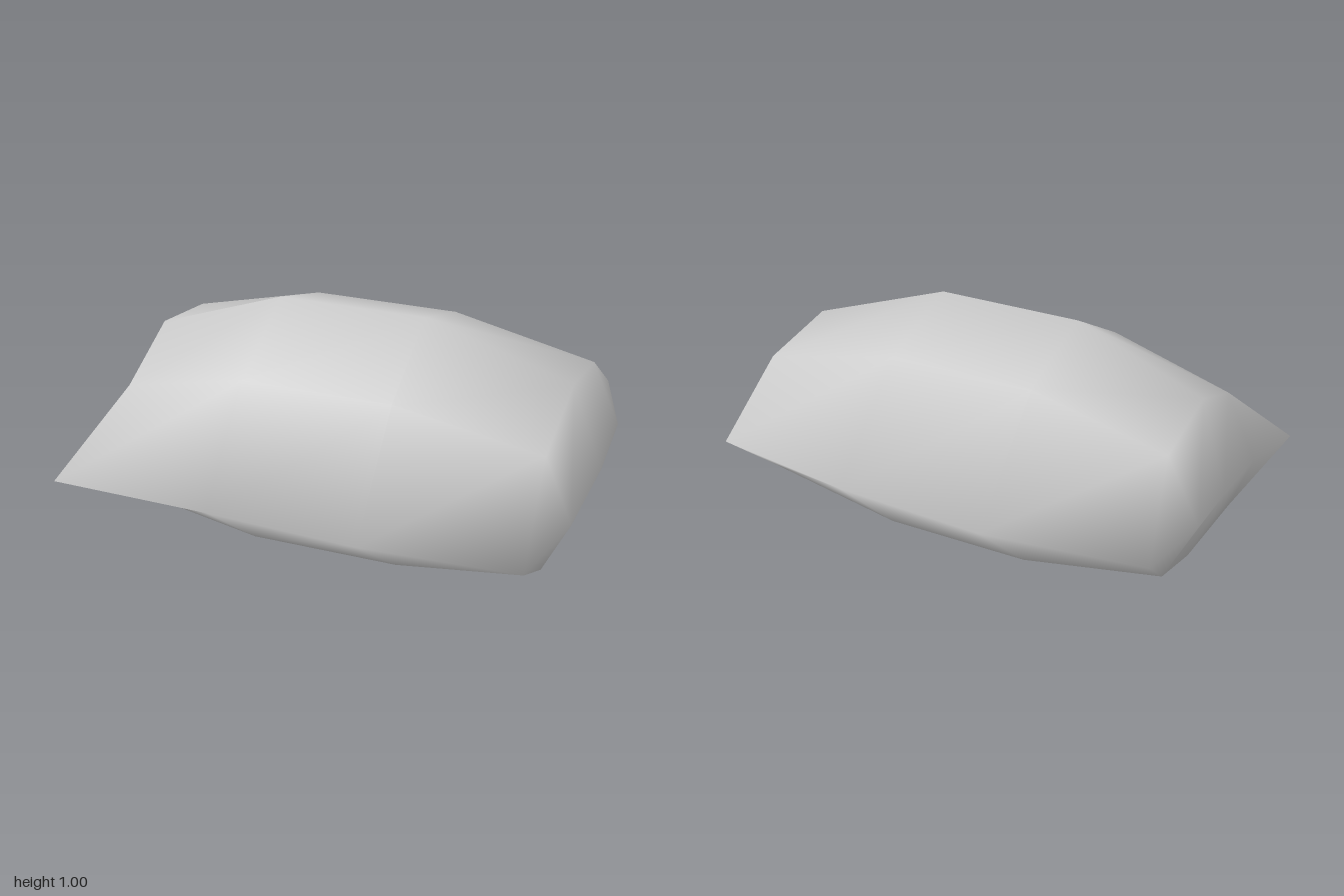
import * as THREE from 'three';

// Cross-section loops as [z, y], running front seam, over the top, back seam, underneath
const middle = [[0.75, 0.375], [0.45, 0.805], [0.08, 1.005], [-0.31, 0.88], [-0.755, 0.52], [-0.36, 0.16], [0, 0], [0.39, 0.085]];
const end = [[0.72, 0.37], [0.4, 0.675], [0.05, 0.81], [-0.31, 0.75], [-0.67, 0.52], [-0.35, 0.26], [0, 0.14], [0.37, 0.18]];

// Four columns across the cushion: loop, x of each loop point, z of the two seam points
const columns = [
  { loop: end, x: [-1, -0.82, -0.84, -0.85, -0.95, -0.87, -0.84, -0.87], front: 0.72, back: -0.685 },
  { loop: middle, x: [-0.33, -0.3, -0.3, -0.3, -0.33, -0.3, -0.3, -0.3], front: 0.738, back: -0.77 },
  { loop: middle, x: [0.28, 0.3, 0.3, 0.3, 0.28, 0.3, 0.3, 0.3], front: 0.767, back: -0.743 },
  { loop: end, x: [0.89, 0.87, 0.88, 0.88, 0.88, 0.87, 0.88, 0.87], front: 0.723, back: -0.653 },
];

// Ridge points in the middle of each end, front to back
const ridges = [
  [[-0.95, 0.4, 0.4], [-0.97, 0.46, 0], [-0.98, 0.48, -0.3]],
  [[0.975, 0.4, 0.38], [1, 0.45, 0], [0.99, 0.48, -0.34]],
];
const ridgeOf = [0, 0, 1, 2, 2, 2, 1, 0];

function cushionGeometry() {
  const positions = [];
  const index = [];
  const quad = (a, b, c, d) => {
    index.push(a, b, c);
    if (c !== d) index.push(a, c, d);
  };

  for (const { loop, x, front, back } of columns) {
    loop.forEach(([z, y], i) => positions.push(x[i], y, i === 0 ? front : i === 4 ? back : z));
  }
  ridges.flat().forEach((p) => positions.push(...p));

  for (let i = 0; i < 8; i++) {
    const j = (i + 1) % 8;
    // Puffed body between columns
    for (let c = 0; c < 3; c++) quad(c * 8 + i, c * 8 + 8 + i, c * 8 + 8 + j, c * 8 + j);
    // Left and right ends
    quad(24 + j, 24 + i, 35 + ridgeOf[i], 35 + ridgeOf[j]);
    const a = 32 + ridgeOf[i];
    const b = 32 + ridgeOf[j];
    index.push(i, j, b);
    if (a !== b) index.push(i, b, a);
  }

  // Shared vertices give smooth shading over the whole cushion
  const geometry = new THREE.BufferGeometry();
  geometry.setAttribute('position', new THREE.Float32BufferAttribute(positions, 3));
  geometry.setIndex(index);
  geometry.computeVertexNormals();
  return geometry;
}

export function createModel() {
  const model = new THREE.Group();
  model.name = 'pillow';
  const cushion = new THREE.Mesh(cushionGeometry(), new THREE.MeshStandardMaterial({ color: 0xcccccc }));
  cushion.name = 'cushion';
  model.add(cushion);
  return model;
}
